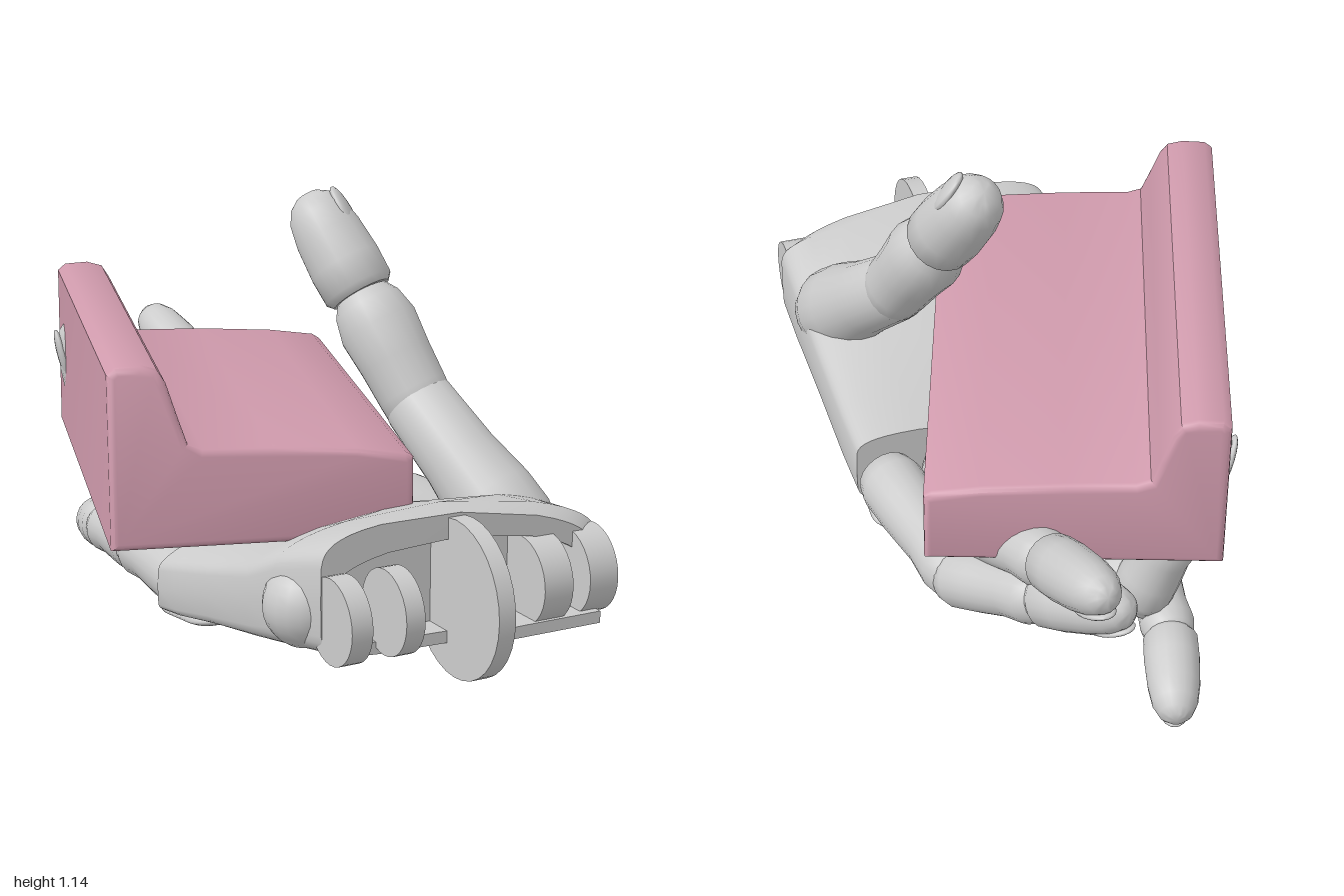
import * as THREE from 'three';
import { toCreasedNormals } from 'three/addons/utils/BufferGeometryUtils.js';

const grey = new THREE.MeshStandardMaterial({ color: 0xcccccc });
const pink = new THREE.MeshStandardMaterial({ color: 0xcf9aac });
const V = (p) => new THREE.Vector3(...p);
const lerp = THREE.MathUtils.lerp;

function mesh(name, geometry, material = grey) {
  const m = new THREE.Mesh(geometry, material);
  m.name = name;
  return m;
}

// Round limb from a to b; profile rows are [fraction of length, radius]
function limb(name, a, b, profile) {
  const dir = V(b).sub(V(a));
  const L = dir.length();
  const pts = profile.map(([t, r]) => new THREE.Vector2(r, t * L));
  const m = mesh(name, toCreasedNormals(new THREE.LatheGeometry(pts, 20), 0.75));
  m.position.copy(V(a));
  m.quaternion.setFromUnitVectors(new THREE.Vector3(0, 1, 0), dir.normalize());
  return m;
}

const bone = (r0, r1) => [[-0.16, 0], [-0.14, r0 * 0.5], [-0.07, r0 * 0.88], [0.04, r0],
  [0.3, r0 * 0.97], [0.65, r1 * 0.95], [0.88, r1 * 1.03], [0.99, r1 * 0.92], [1.1, r1 * 0.6], [1.14, 0]];
const tip = (r) => [[0, 0], [0, r * 0.85], [0.06, r * 1.02], [0.3, r * 1.04], [0.6, r * 0.97],
  [0.8, r * 0.84], [0.92, r * 0.62], [0.98, r * 0.34], [1, 0]];

// Flat oval nail lying on the outer side of a fingertip
function nail(a, b, r, out) {
  const dir = V(b).sub(V(a));
  const L = dir.length();
  dir.normalize();
  const side = new THREE.Vector3().crossVectors(dir, V(out)).normalize();
  const n = new THREE.Vector3().crossVectors(side, dir);
  const m = mesh('nail', new THREE.SphereGeometry(1, 16, 10));
  m.scale.set(r * 0.6, L * 0.24, r * 0.2);
  m.quaternion.setFromRotationMatrix(new THREE.Matrix4().makeBasis(side, dir, n));
  m.position.copy(V(a)).addScaledVector(dir, L * 0.7).addScaledVector(n, r * 0.74);
  return m;
}

function finger(name, pts, radii, out) {
  const g = new THREE.Group();
  g.name = name;
  for (let i = 0; i < pts.length - 1; i++) {
    const last = i === pts.length - 2;
    g.add(limb(last ? 'fingertip' : 'fingerBone', pts[i], pts[i + 1],
      last ? tip(radii[i]) : bone(radii[i], radii[i + 1])));
    if (last) g.add(nail(pts[i], pts[i + 1], radii[i], out));
  }
  return g;
}

// Palm: rounded slab lofted from the recessed wrist to the knuckles
function palmGeometry() {
  // [left x, z], [right x, z], [bottom left, middle, right], [top left, middle, right]
  const S = [
    [[-0.13, 0.78], [0.51, 0.59], [0.24, 0.23, 0.24], [0.42, 0.46, 0.39]],
    [[-0.105, 0.86], [0.535, 0.66], [0.24, 0.23, 0.24], [0.42, 0.46, 0.39]],
    [[-0.14, 0.87], [0.57, 0.65], [0.21, 0.2, 0.21], [0.5, 0.52, 0.43]],
    [[-0.23, 0.74], [0.595, 0.6], [0.2, 0.18, 0.2], [0.45, 0.52, 0.45]],
    [[-0.27, 0.6], [0.55, 0.46], [0.17, 0.165, 0.19], [0.38, 0.48, 0.44]],
    [[-0.33, 0.35], [0.47, 0.24], [0.115, 0.15, 0.17], [0.3, 0.39, 0.38]],
    [[-0.39, 0.2], [0.39, 0.0], [0.085, 0.14, 0.155], [0.26, 0.36, 0.365]],
    [[-0.42, 0.1], [0.34, -0.14], [0.07, 0.135, 0.15], [0.23, 0.34, 0.36]],
  ];
  const N = 40, pos = [], idx = [];
  const pow = (c) => Math.sign(c) * Math.abs(c) ** 0.3;
  const arc = (k, t) => k[0] * (1 - t) * (1 - 2 * t) + k[1] * 4 * t * (1 - t) + k[2] * t * (2 * t - 1);
  for (const [l, r, bottom, top] of S) {
    for (let j = 0; j < N; j++) {
      const a = (j / N) * Math.PI * 2;
      const t = (pow(Math.cos(a)) + 1) / 2, v = (pow(Math.sin(a)) + 1) / 2;
      pos.push(lerp(l[0], r[0], t), lerp(arc(bottom, t), arc(top, t), v), lerp(l[1], r[1], t));
    }
  }
  for (let i = 0; i < S.length - 1; i++) {
    for (let j = 0; j < N; j++) {
      const a = i * N + j, b = i * N + (j + 1) % N;
      idx.push(a, a + N, b, b, a + N, b + N);
    }
  }
  const end = (S.length - 1) * N;
  for (let j = 1; j < N - 1; j++) idx.push(0, j, j + 1, end, end + j + 1, end + j);
  const g = new THREE.BufferGeometry();
  g.setAttribute('position', new THREE.Float32BufferAttribute(pos, 3));
  g.setIndex(idx);
  return toCreasedNormals(g, 0.6);
}

// Couch-shaped block: seat and backrest in one softened extrusion
function couchGeometry() {
  const b = 0.018;
  const outline = [[-0.59, 0.415], [0.14, 0.415], [0.14, 0.61], [0.12, 0.623], [0, 0.64], [-0.2, 0.653],
    [-0.37, 0.657], [-0.405, 0.67], [-0.425, 0.73], [-0.45, 0.81], [-0.47, 0.843], [-0.51, 0.855], [-0.57, 0.852], [-0.59, 0.835]];
  const shape = new THREE.Shape(outline.map(([x, y]) => new THREE.Vector2(x, y)));
  const g = new THREE.ExtrudeGeometry(shape, {
    depth: 1.25 - 2 * b, bevelEnabled: true, bevelSize: b, bevelOffset: -b, bevelThickness: b, bevelSegments: 3,
  });
  g.translate(0, 0, -0.65 + b);
  // front end of the backrest leans back
  const p = g.attributes.position;
  for (let i = 0; i < p.count; i++) {
    if (p.getZ(i) > 0.3) p.setZ(i, p.getZ(i) - Math.max(0, p.getY(i) - 0.66) * 0.22);
  }
  return toCreasedNormals(g, 0.7);
}

export function createModel() {
  const model = new THREE.Group();
  model.name = 'handHoldingCouch';
  model.add(mesh('couch', couchGeometry(), pink));
  model.add(mesh('palm', palmGeometry()));

  // Four fingers, palm side up, nails underneath
  const down = [0, -1, 0];
  const fingers = [
    ['indexFinger', [[0.25, 0.25, -0.17], [0.06, 0.24, -0.52], [-0.15, 0.355, -0.71], [-0.36, 0.48, -0.89]], [0.086, 0.078, 0.073], down],
    ['middleFinger', [[0.09, 0.25, -0.12], [0.0, 0.37, -0.48], [-0.17, 0.47, -0.71], [-0.3, 0.625, -1.0]], [0.086, 0.078, 0.074], down],
    ['ringFinger', [[-0.13, 0.22, -0.02], [-0.4, 0.185, -0.5], [-0.48, 0.41, -0.52], [-0.565, 0.73, -0.5]], [0.083, 0.08, 0.074], [-1, 0, 0]],
    ['littleFinger', [[-0.34, 0.16, 0.1], [-0.42, 0.135, -0.3], [-0.475, 0.11, -0.58], [-0.485, 0.06, -0.835]], [0.078, 0.072, 0.068], down],
  ];
  for (const [name, pts, radii, out] of fingers) {
    model.add(finger(name, pts, radii, out));
    // tongue of the back plate reaching under the knuckle
    const tab = mesh('knucklePlate', new THREE.CapsuleGeometry(0.06, 0.14, 6, 14));
    tab.scale.z = 0.28;
    tab.rotation.set(-Math.PI / 2 - 0.12, 0, 0.31);
    tab.position.set(pts[0][0] + 0.015, pts[0][1] - 0.07, pts[0][2] + 0.04);
    model.add(tab);
  }

  // Thumb rising over the couch
  const thumb = new THREE.Group();
  thumb.name = 'thumb';
  const base = [0.43, 0.365, 0.425], bend = [0.245, 0.63, 0.175], knuckle = [0.125, 0.885, 0.035], end = [0.005, 1.125, -0.1];
  thumb.add(limb('thumbBase', base, bend, [[-0.26, 0], [-0.24, 0.06], [-0.13, 0.1], [0, 0.116], [0.22, 0.116],
    [0.55, 0.1], [1, 0.092], [1.12, 0.07], [1.2, 0]]));
  thumb.add(limb('thumbBone', bend, knuckle, [[-0.25, 0], [-0.2, 0.06], [-0.08, 0.088], [0.1, 0.092], [0.4, 0.096],
    [0.7, 0.104], [0.9, 0.09], [1, 0.07], [1.03, 0]]));
  thumb.add(limb('thumbTip', knuckle, end, tip(0.092)));
  thumb.add(nail(knuckle, end, 0.09, [0.7, 0.3, 0.2]));
  model.add(thumb);

  // Wrist hinge: a large disc flanked by round lugs
  const wrist = new THREE.Group();
  wrist.name = 'wristHinge';
  wrist.position.set(0.2, 0.33, 0.78);
  wrist.rotation.y = 0.31;
  const lugs = [[0.01, -0.01, 0.02, 0.195, 0.045], [-0.32, -0.01, 0.02, 0.105, 0.055], [-0.18, -0.01, 0.02, 0.105, 0.05],
    [0.24, -0.01, -0.03, 0.11, 0.08], [0.375, -0.01, -0.04, 0.11, 0.08]];
  for (const [x, y, z, r, w] of lugs) {
    const lug = mesh(r > 0.15 ? 'wristDisc' : 'wristLug', new THREE.CylinderGeometry(r, r, w, 32));
    lug.rotation.z = Math.PI / 2;
    lug.position.set(x, y, z);
    wrist.add(lug);
  }
  const ledge = mesh('wristLedge', new THREE.BoxGeometry(0.36, 0.03, 0.14));
  ledge.position.set(0.2, -0.11, -0.02);
  wrist.add(ledge);
  model.add(wrist);
  const knob = mesh('wristKnob', new THREE.SphereGeometry(0.105, 20, 14));
  knob.position.set(-0.15, 0.31, 0.74);
  model.add(knob);
  return model;
}
